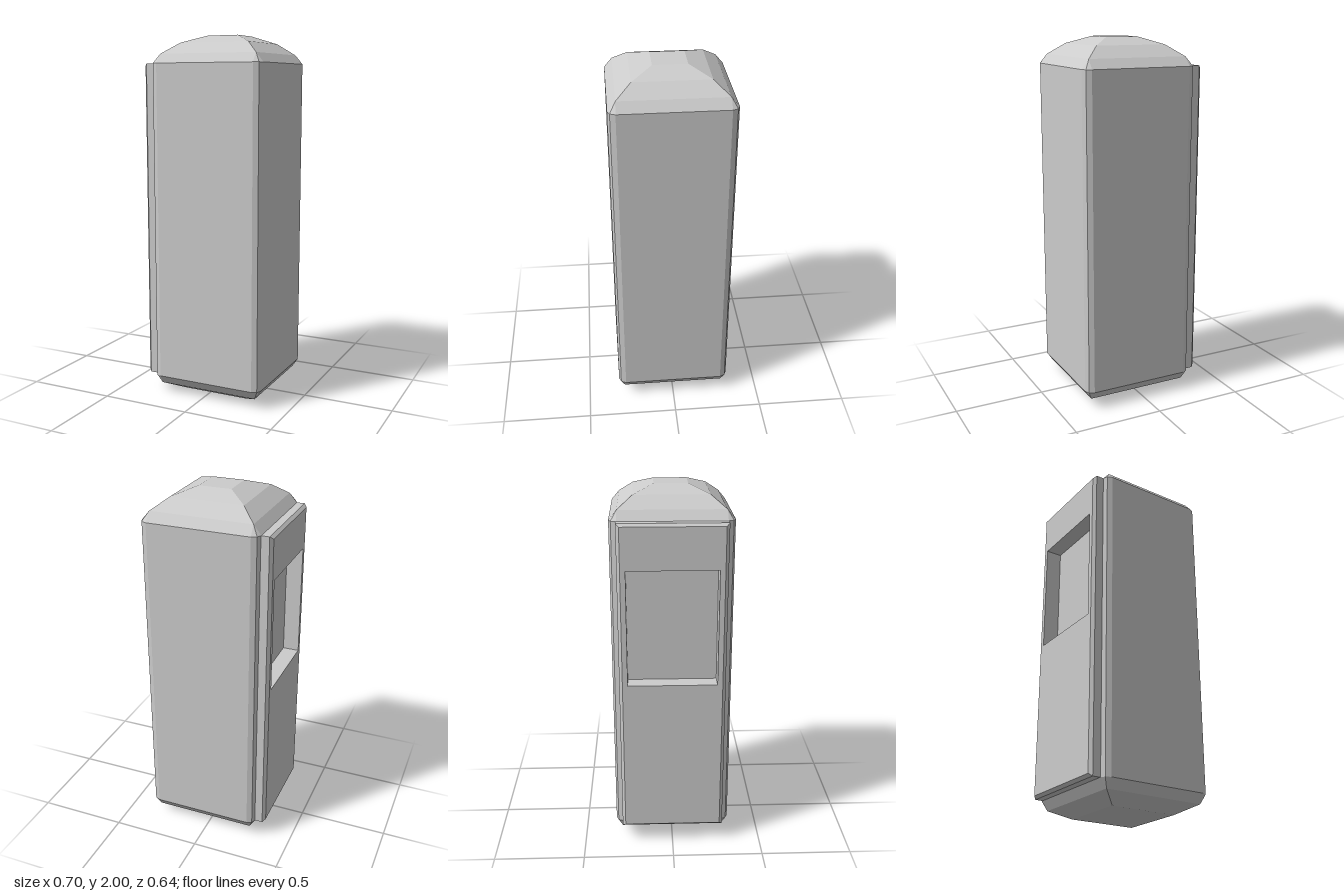
import * as THREE from 'three';

const material = new THREE.MeshStandardMaterial({ color: 0xcccccc, flatShading: true });

// Joins equally sized rings of points into a faceted skin; skip(level, segment) leaves an opening.
function loft(rings, capped, skip = () => false) {
  const pos = [];
  const tri = (a, b, c) => {
    const area = b.clone().sub(a).cross(c.clone().sub(a)).length();
    if (area > 1e-8) for (const p of [a, b, c]) pos.push(p.x, p.y, p.z);
  };
  const n = rings[0].length;
  for (let j = 0; j < rings.length - 1; j++) {
    const lo = rings[j], up = rings[j + 1];
    for (let i = 0; i < n; i++) {
      if (skip(j, i)) continue;
      const k = (i + 1) % n;
      tri(lo[i], up[i], lo[k]);
      tri(up[i], up[k], lo[k]);
    }
  }
  if (capped) {
    const first = rings[0], last = rings[rings.length - 1];
    for (let i = 1; i < n - 1; i++) {
      tri(first[0], first[i], first[i + 1]);
      tri(last[0], last[i + 1], last[i]);
    }
  }
  const g = new THREE.BufferGeometry();
  g.setAttribute('position', new THREE.Float32BufferAttribute(pos, 3));
  g.computeVertexNormals();
  return g;
}

// Horizontal square ring with half width h and corners rounded by c.
function squareRing(y, h, c, cx) {
  const corner = [[h, h - c], [h - 0.3 * c, h - 0.3 * c], [h - c, h]];
  const ring = [];
  for (let k = 0; k < 4; k++) {
    for (const p of corner) {
      ring.push(new THREE.Vector3(p[0] + cx, y, p[1]));
      [p[0], p[1]] = [-p[1], p[0]];
    }
  }
  return ring;
}

// Upright rectangular ring in the plane of the door.
const doorRing = (x, hz, y0, y1) =>
  [[hz, y1], [hz, y0], [-hz, y0], [-hz, y1]].map(([z, y]) => new THREE.Vector3(x, y, z));

function rectangle(path, hz, y0, y1) {
  path.moveTo(-hz, y0).lineTo(hz, y0).lineTo(hz, y1).lineTo(-hz, y1).closePath();
  return path;
}

export function createModel() {
  const model = new THREE.Group();
  const add = (name, geometry, parent = model) => {
    const mesh = new THREE.Mesh(geometry, material);
    mesh.name = name;
    parent.add(mesh);
    return mesh;
  };

  // Cabinet body: tapered foot, straight walls and domed roof, open behind the door
  const levels = [
    [0, 0.19, 0], [0.05, 0.288, 0], [0.1, 0.322, 0.04],
    [1.85, 0.322, 0.04], [1.9, 0.28, 0], [1.96, 0.2, 0], [2, 0.09, 0],
  ];
  const rings = levels.map(([y, h, c]) => squareRing(y, h, c, 0.028));
  add('cabinetBody', loft(rings, true, (level, segment) => level === 2 && segment === 5));

  // Door on the right side with a bevelled rim
  const door = new THREE.Group();
  door.name = 'door';
  model.add(door);
  add('doorRim', loft([
    doorRing(-0.29, 0.285, 0.1, 1.85),
    doorRing(-0.337, 0.285, 0.1, 1.85),
    doorRing(-0.353, 0.268, 0.115, 1.835),
  ], false), door);

  // Door face with the window opening
  const win = [0.24, 0.98, 1.61];
  const face = rectangle(new THREE.Shape(), 0.268, 0.115, 1.835);
  face.holes.push(rectangle(new THREE.Path(), ...win));
  add('doorFace', new THREE.ShapeGeometry(face).rotateY(-Math.PI / 2).translate(-0.353, 0, 0), door);

  // Recessed window
  add('windowReveal', loft([doorRing(-0.353, ...win), doorRing(-0.263, ...win)], false), door);
  const pane = new THREE.PlaneGeometry(2 * win[0], win[2] - win[1]).rotateY(-Math.PI / 2);
  add('windowPane', pane.translate(-0.263, (win[1] + win[2]) / 2, 0), door);

  return model;
}
